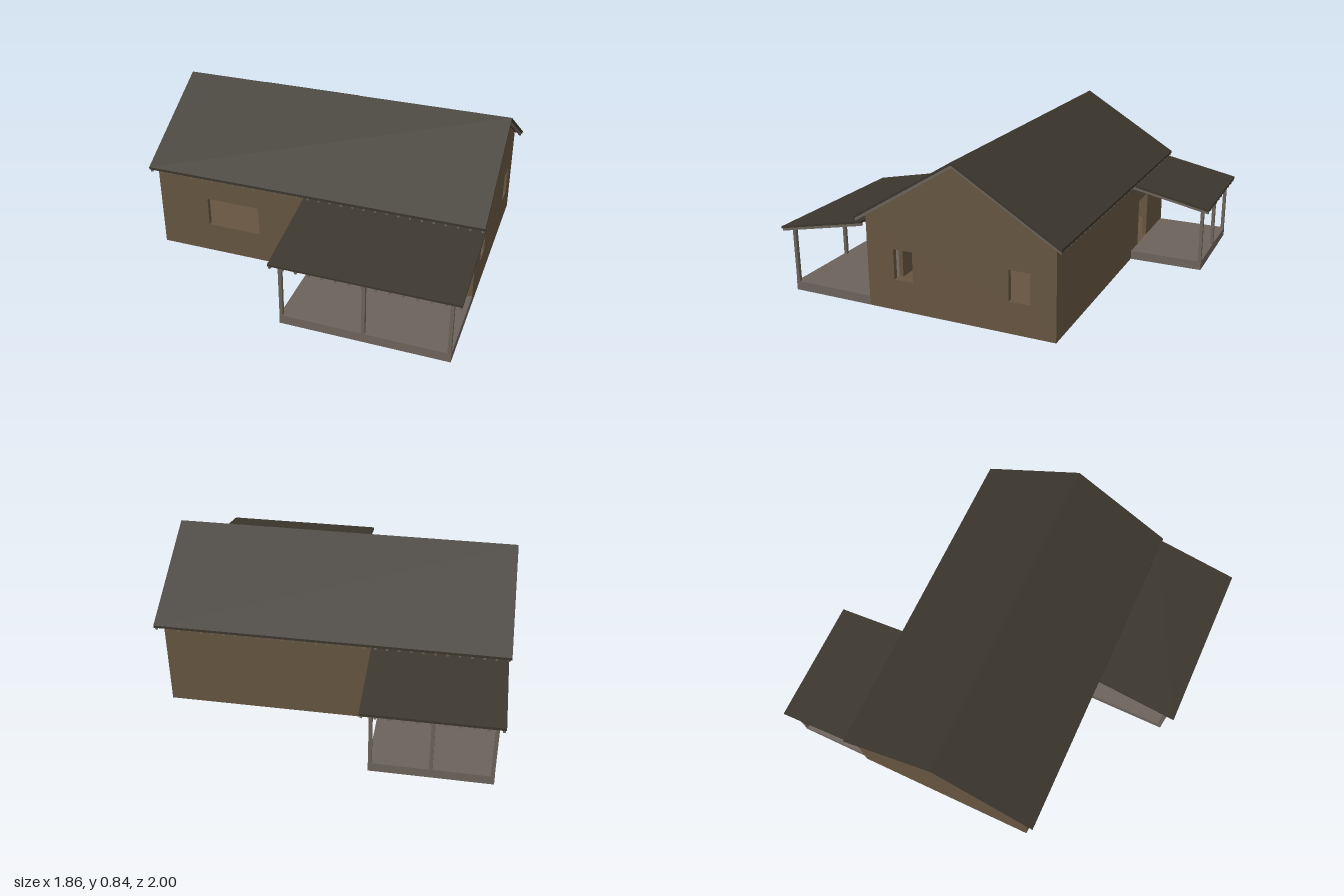
import * as THREE from 'three';

const mat = (color) => new THREE.MeshStandardMaterial({ color, roughness: 1 });

export function createModel() {
  const house = new THREE.Group();
  house.name = 'house';
  const wallMat = mat(0x655440), roofMat = mat(0x3b362d), baseMat = mat(0x37322a);
  const slabMat = mat(0x6b625a), woodMat = mat(0x6a6258);

  const add = (name, geo, material, parent = house) => {
    const m = new THREE.Mesh(geo, material);
    m.name = name;
    parent.add(m);
    return m;
  };
  const group = (name) => {
    const g = new THREE.Group();
    g.name = name;
    house.add(g);
    return g;
  };
  const box = (name, x0, x1, y0, y1, z0, z1, material, parent) =>
    add(name, new THREE.BoxGeometry(x1 - x0, y1 - y0, z1 - z0), material, parent)
      .position.set((x0 + x1) / 2, (y0 + y1) / 2, (z0 + z1) / 2);

  // outline with rectangular openings [a0, a1, y0, y1]
  const outline = (pts, holes = []) => {
    const s = new THREE.Shape(pts.map((p) => new THREE.Vector2(...p)));
    for (const [a, b, c, d] of holes) {
      s.holes.push(new THREE.Path([[a, c], [a, d], [b, d], [b, c]].map((p) => new THREE.Vector2(...p))));
    }
    return s;
  };
  const extrude = (shape, depth) => new THREE.ExtrudeGeometry(shape, { depth, bevelEnabled: false });
  // (z, y) profile swept along x from x0 to x1
  const sweep = (name, pts, x0, x1, material, parent, holes) => {
    const geo = extrude(outline(pts, holes), x1 - x0).rotateY(-Math.PI / 2).translate(x1, 0, 0);
    return add(name, geo, material, parent);
  };

  const X0 = -0.9, X1 = 0.89, ZB = -0.55, ZF = 0.495, T = 0.025;
  const RZ = -0.027, RY = 0.842, EF = 0.537, EB = -0.59, EY = 0.498;
  const FLOOR = 0.05;

  // height of the roof top at depth z
  const roofY = (z) => RY - (RY - EY) * (z > RZ ? (z - RZ) / (EF - RZ) : (RZ - z) / (RZ - EB));

  // long walls
  const walls = group('walls');
  const longWall = (name, z, holes) => {
    const top = 0.492;
    add(name, extrude(outline([[X0, 0], [X1, 0], [X1, top], [X0, top]], holes), T), wallMat, walls).position.z = z;
  };
  longWall('frontWall', ZF - T, [[-0.61, -0.305, 0.17, 0.335], [0.605, 0.79, FLOOR, 0.325]]);
  longWall('backWall', ZB, [[-0.565, -0.39, FLOOR, 0.322]]);

  // gable walls, the model's left one with two windows
  const gable = [[ZB, 0], [ZF, 0], [ZF, roofY(ZF) - 0.016], [RZ, RY - 0.016], [ZB, roofY(ZB) - 0.016]];
  sweep('rightGable', gable, X0, X0 + T, wallMat, walls);
  sweep('leftGable', gable, X1 - T, X1, wallMat, walls,
    [[0.23, 0.34, 0.17, 0.335], [-0.415, -0.302, 0.17, 0.335]]);

  // floor slab
  box('floorBase', X0 + 0.002, X1 - 0.002, 0, 0.02, ZB + 0.002, ZF - 0.002, baseMat);
  box('floor', X0 + 0.01, X1 - 0.01, 0.02, FLOOR, ZB + 0.01, ZF - 0.01, wallMat);

  // main roof deck and its rafters
  const chevron = (top, bottom, inset = 0) => {
    const zf = EF - inset, zb = EB + inset;
    return [[zf, roofY(zf) - bottom], [zf, roofY(zf) - top], [RZ, RY - top],
      [zb, roofY(zb) - top], [zb, roofY(zb) - bottom], [RZ, RY - bottom]];
  };
  sweep('roofDeck', chevron(0, 0.014), -0.932, 0.932, roofMat);
  const rafters = group('roofRafters');
  const N = 30;
  for (let i = 0; i <= N; i++) {
    const x = -0.925 + (1.838 * i) / N;
    sweep('rafter', chevron(0.014, 0.03, 0.004), x, x + 0.012, woodMat, rafters);
  }

  // lean-to porch: slab, posts, beam, sloping deck and rafters
  const porch = (name, p) => {
    const g = group(name);
    const s = Math.sign(p.zOut), edge = s * 0.965;
    box('porchFloor', p.x0, p.x1, 0, FLOOR, Math.min(p.wall, edge), Math.max(p.wall, edge), slabMat, g);
    const y = (z) => p.yIn + ((p.yOut - p.yIn) * (z - p.wall)) / (p.zOut - p.wall);
    const strip = (top, bottom, zOut) => [[p.wall, y(p.wall) - bottom], [zOut, y(zOut) - bottom],
      [zOut, y(zOut) - top], [p.wall, y(p.wall) - top]];
    sweep('porchDeck', strip(0, p.deck, p.zOut), p.r0, p.r1, roofMat, g);
    const n = Math.round((p.r1 - p.r0) / 0.07);
    for (let i = 0; i <= n; i++) {
      const x = p.r0 + 0.004 + ((p.r1 - p.r0 - 0.02) * i) / n;
      sweep('porchRafter', strip(p.deck, p.deck + 0.015, p.zOut - s * 0.003), x, x + 0.012, woodMat, g);
    }
    const zc = s * 0.955, top = y(zc) - p.deck;
    box('porchBeam', p.x0, p.x1, top - 0.014, top - 0.001, zc - 0.008, zc + 0.008, woodMat, g);
    for (const t of [0, 0.5, 1]) {
      const x = p.x0 + 0.01 + (p.x1 - p.x0 - 0.02) * t;
      box('porchPost', x - 0.009, x + 0.009, FLOOR, top - 0.002, zc - 0.009, zc + 0.009, woodMat, g);
    }
  };
  porch('frontPorch', { x0: 0.01, x1: 0.89, r0: -0.028, r1: 0.932, wall: ZF, zOut: 1, yIn: 0.475, yOut: 0.372, deck: 0.011 });
  porch('backPorch', { x0: -0.89, x1: -0.265, r0: -0.918, r1: -0.222, wall: ZB, zOut: -1, yIn: 0.475, yOut: 0.382, deck: 0.014 });

  // shape profiles run either way round, so keep both faces of thin parts visible
  for (const m of [wallMat, roofMat, woodMat]) m.side = THREE.DoubleSide;
  return house;
}
